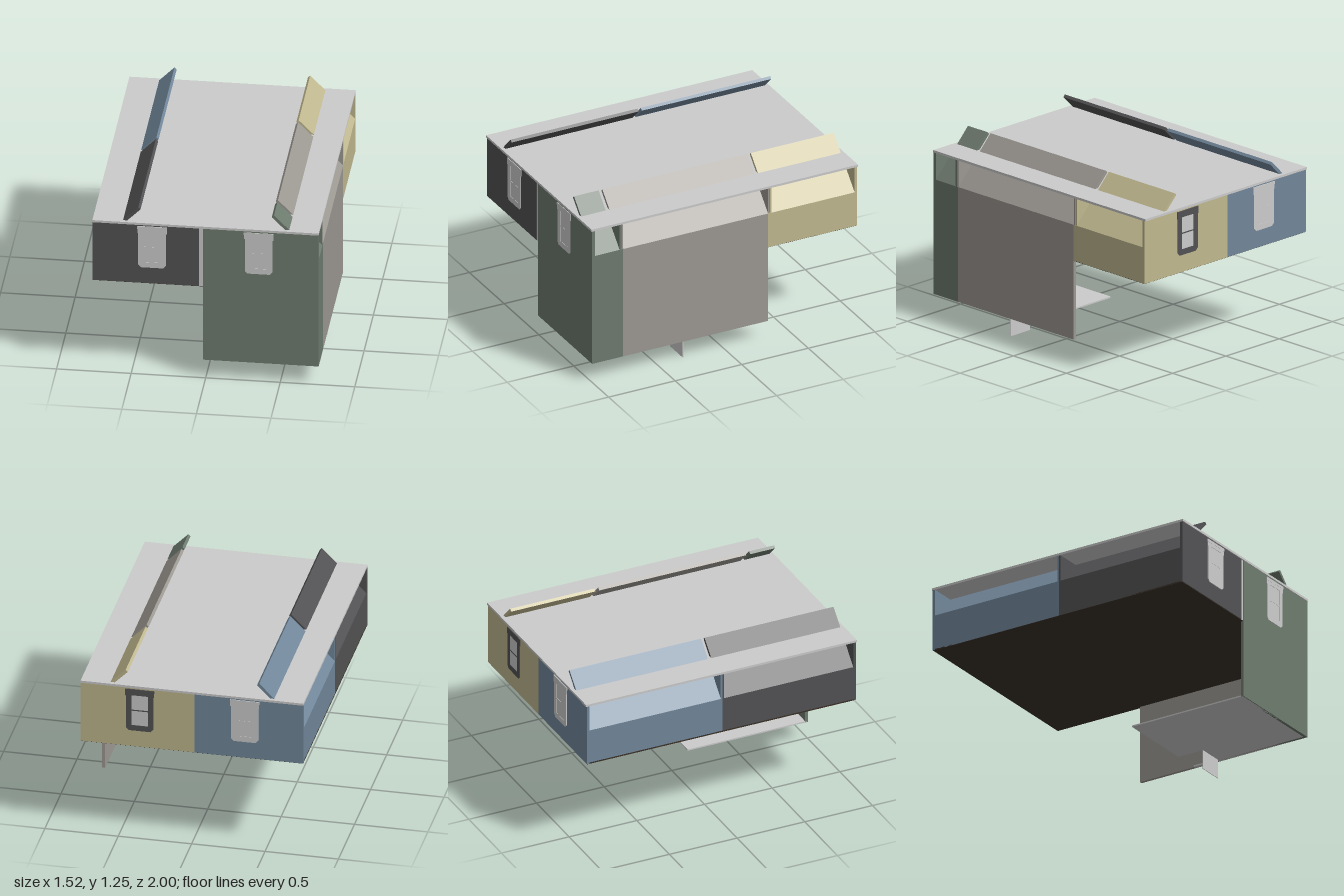
import * as THREE from 'three';

const mat = (color) => new THREE.MeshStandardMaterial({ color, side: THREE.DoubleSide });
const grey = mat(0xcccccc);
const green = mat(0x6e7b6f);
const dark = mat(0x525254);
const stone = mat(0x9c9892);
const yellow = mat(0xc0b88f);
const blue = mat(0x71879a);
const brown = mat(0x3a3026);

export function createModel() {
  const model = new THREE.Group();

  // Box given by its lower and upper limits on each axis
  function box(name, material, x0, x1, y0, y1, z0, z1, parent = model) {
    const mesh = new THREE.Mesh(new THREE.BoxGeometry(x1 - x0, y1 - y0, z1 - z0), material);
    mesh.position.set((x0 + x1) / 2, (y0 + y1) / 2, (z0 + z1) / 2);
    mesh.name = name;
    parent.add(mesh);
    return mesh;
  }

  // Outline in x and y, drawn out from z0 to z1
  function prism(name, material, points, z0, z1, holes = [], parent = model) {
    const toVectors = (list) => list.map(([x, y]) => new THREE.Vector2(x, y));
    const shape = new THREE.Shape(toVectors(points));
    holes.forEach((h) => shape.holes.push(new THREE.Path(toVectors(h))));
    const geometry = new THREE.ExtrudeGeometry(shape, { depth: z1 - z0, bevelEnabled: false });
    const mesh = new THREE.Mesh(geometry, material);
    mesh.position.z = z0;
    mesh.name = name;
    parent.add(mesh);
    return mesh;
  }

  const rect = (x0, x1, y0, y1) => [[x0, y0], [x1, y0], [x1, y1], [x0, y1]];

  // Flat roof and upper floor
  box('roof', grey, -0.76, 0.757, 1.13, 1.146, -1, 1);
  box('upperFloor', brown, -0.757, 0.754, 0.687, 0.697, -0.99, 0.99);
  box('partyWall', grey, -0.045, -0.02, 0.69, 1.13, -0.99, 0.992);

  // Front and back walls
  box('frontWallRight', dark, -0.76, -0.045, 0.69, 1.13, 0.975, 0.994);
  box('frontWallLeft', green, -0.02, 0.757, 0.135, 1.13, 0.975, 0.996);
  box('backWallLeft', yellow, -0.02, 0.757, 0.69, 1.13, -0.994, -0.975);
  box('backWallRight', blue, -0.76, -0.02, 0.69, 1.13, -0.994, -0.975);

  // Side walls with sloping panels that rise through the roof
  const units = [
    { side: 1, material: green, wall: [0.765, 0.994], slope: [0.79, 0.975], y: 0.135 },
    { side: 1, material: stone, wall: [-0.325, 0.765], slope: [-0.325, 0.762], y: 0.135 },
    { side: 1, material: yellow, wall: [-0.994, -0.325], slope: [-0.975, -0.353], y: 0.69 },
    { side: -1, material: dark, wall: [0.01, 0.994], slope: [0.022, 0.975], y: 0.69 },
    { side: -1, material: blue, wall: [-0.994, 0.01], slope: [-0.975, -0.003], y: 0.69 },
  ];
  const panel = [[0.757, 0.943], [0.455, 1.25], [0.44, 1.235], [0.735, 0.94]];
  const fin = [[0.755, 0.94], [0.755, 1.13], [0.565, 1.13]];
  for (const { side, material, wall, slope, y } of units) {
    const sided = (points) => points.map(([x, py]) => [x * side, py]);
    const xs = [0.737 * side, 0.757 * side].sort((a, b) => a - b);
    box('sideWall', material, xs[0], xs[1], y, 0.943, wall[0], wall[1]);
    prism('slopingPanel', material, sided(panel), slope[0], slope[1]);
    // Triangular dividers closing the ends of the open gap
    if (slope[0] > -0.97) prism('dividerFin', material, sided(fin), slope[0] - 0.012, slope[0]);
    if (slope[1] < 0.97) prism('dividerFin', material, sided(fin), slope[1], slope[1] + 0.012);
  }

  // Lower floor with a stair opening at its back edge
  const floorOutline = [[-0.02, -1], [-0.02, -0.117], [0.545, -0.117], [0.545, -0.3],
    [0.73, -0.3], [0.73, -0.117], [0.755, -0.117], [0.755, -1]].map(([x, y]) => [x, y + 0.01]);
  const lowerFloor = prism('lowerFloor', grey, floorOutline, 0, 0.01);
  lowerFloor.rotation.x = -Math.PI / 2;
  lowerFloor.position.y = 0.135;

  // Stair panel hanging below the lower floor
  box('stairPanel', grey, 0.545, 0.73, 0, 0.26, 0.298, 0.302);
  box('stairSideWall', grey, 0.541, 0.545, 0.135, 0.26, 0.117, 0.3);

  // Sash windows, front ones facing +z and back ones turned round
  function sashWindow(x, facing, frameMaterial) {
    const window = new THREE.Group();
    window.name = 'sashWindow';
    const outline = [[-0.075, 0.81], [0.075, 0.81], [0.093, 0.83], [0.093, 1.115], [-0.093, 1.115], [-0.093, 0.83]];
    prism('windowFrame', frameMaterial, outline, 0.985, 0.999, [rect(-0.056, 0.056, 0.85, 1.075)], window);
    box('cornice', frameMaterial, -0.1, 0.1, 1.1, 1.12, 0.985, 1, window);
    box('windowPanes', grey, -0.056, 0.056, 0.85, 1.075, 0.985, 0.9965, window);
    box('meetingRail', frameMaterial, -0.056, 0.056, 0.958, 0.966, 0.985, 0.998, window);
    for (const s of [-1, 1]) {
      box('bracket', frameMaterial, s * 0.0945 - 0.004, s * 0.0945 + 0.004, 1.07, 1.1, 0.985, 0.999, window);
    }
    window.position.x = x;
    window.rotation.y = facing > 0 ? 0 : Math.PI;
    model.add(window);
  }
  sashWindow(-0.36, 1, grey);
  sashWindow(0.355, 1, grey);
  sashWindow(0.355, -1, dark);
  sashWindow(-0.36, -1, grey);

  return model;
}
